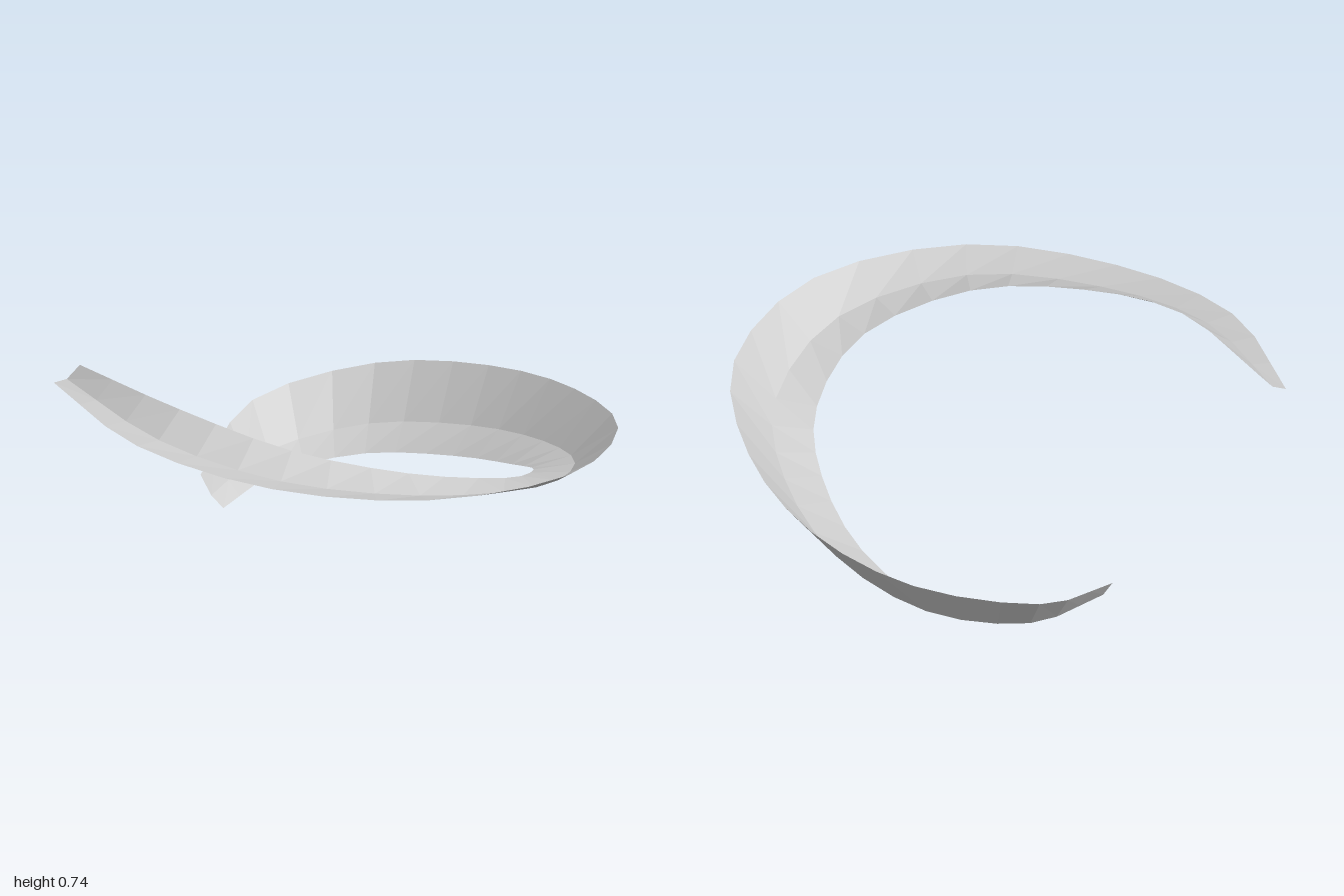
import * as THREE from 'three';

// Guide points (x, y, z) of the three long edges, from the low end to the high end
const OUTER = [
  [-0.535, 0.11, -0.365], [-0.39, 0.245, -0.755], [0.03, 0.34, -0.915], [0.45, 0.4, -0.79],
  [0.79, 0.455, -0.47], [0.995, 0.505, 0], [0.87, 0.535, 0.535], [0.41, 0.557, 0.87],
  [-0.15, 0.58, 0.88], [-0.655, 0.63, 0.65], [-1, 0.675, 0.2],
];
const CREASE = [
  [-0.495, 0.04, -0.348], [-0.325, 0.09, -0.665], [0.02, 0.155, -0.797], [0.4, 0.22, -0.66],
  [0.69, 0.295, -0.36], [0.842, 0.367, 0.01], [0.75, 0.45, 0.45], [0.365, 0.52, 0.74],
  [-0.13, 0.562, 0.76], [-0.585, 0.625, 0.575], [-0.955, 0.685, 0.185],
];
const INNER = [
  [-0.45, 0, -0.33], [-0.285, 0.037, -0.59], [0.02, 0.09, -0.675], [0.35, 0.16, -0.515],
  [0.59, 0.25, -0.24], [0.697, 0.347, 0.035], [0.63, 0.45, 0.375], [0.31, 0.55, 0.61],
  [-0.105, 0.628, 0.632], [-0.52, 0.71, 0.487], [-0.91, 0.735, 0.17],
];
const SEGMENTS = 30;

// Evenly stepped points along a smooth edge
function edgePoints(guides) {
  const curve = new THREE.CatmullRomCurve3(
    guides.map((p) => new THREE.Vector3(...p)), false, 'catmullrom', 0.5);
  return curve.getPoints(SEGMENTS);
}

// Ruled strip between two edges
function band(a, b) {
  const positions = [];
  const indices = [];
  for (let i = 0; i <= SEGMENTS; i++) {
    positions.push(...a[i].toArray(), ...b[i].toArray());
    if (i < SEGMENTS) {
      const k = i * 2;
      indices.push(k, k + 2, k + 1, k + 1, k + 2, k + 3);
    }
  }
  const geometry = new THREE.BufferGeometry();
  geometry.setAttribute('position', new THREE.Float32BufferAttribute(positions, 3));
  geometry.setIndex(indices);
  const flat = geometry.toNonIndexed();
  flat.computeVertexNormals();
  return flat;
}

export function createModel() {
  const model = new THREE.Group();
  model.name = 'twistedRibbon';
  const grey = new THREE.MeshStandardMaterial({
    color: 0xcccccc, flatShading: true, side: THREE.DoubleSide });
  grey.name = 'light grey';

  const outer = edgePoints(OUTER);
  const crease = edgePoints(CREASE);
  const inner = edgePoints(INNER);

  // Two bands folded along the shared crease
  for (const [name, a, b] of [['outerBand', outer, crease], ['innerBand', crease, inner]]) {
    const mesh = new THREE.Mesh(band(a, b), grey);
    mesh.name = name;
    model.add(mesh);
  }
  return model;
}
